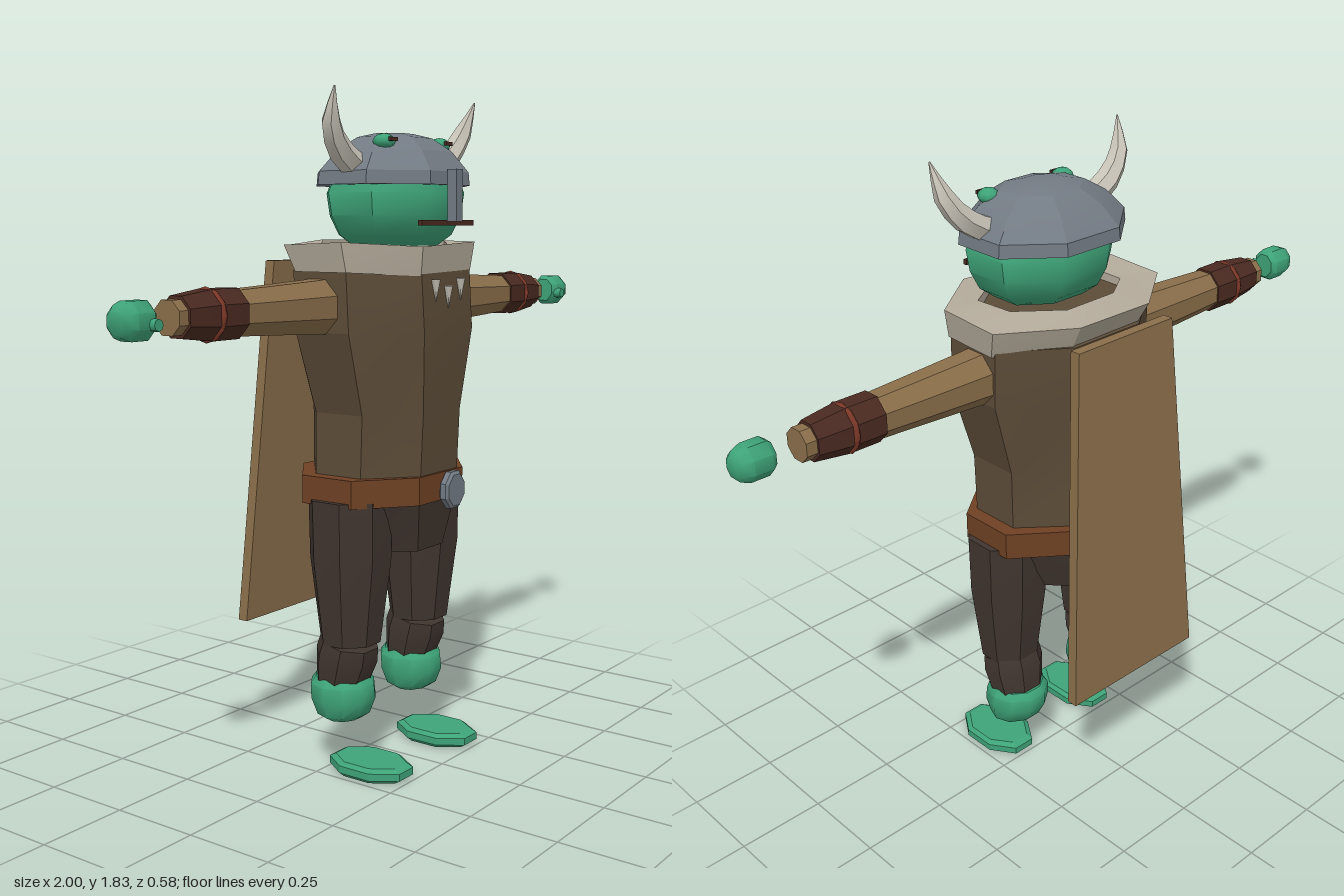
import * as THREE from 'three';
import { toCreasedNormals } from 'three/addons/utils/BufferGeometryUtils.js';

const mat = (name, color) => Object.assign(new THREE.MeshStandardMaterial({ color }), { name });

// Rings [y, rx, rz, cz = 0, cx = 0] joined from bottom to top; rx and rz reach the flat sides.
function loft(rings, { n = 8, caps = true, crease = 0.5, shape = null } = {}) {
  const pos = [], idx = [], k = 1 / Math.cos(Math.PI / n);
  for (const [y, rx, rz, cz = 0, cx = 0] of rings) {
    for (let j = 0; j < n; j++) {
      const a = ((j + 0.5) / n) * Math.PI * 2;
      const p = [cx + rx * k * Math.sin(a), y, cz + rz * k * Math.cos(a)];
      if (shape) p[1] += shape(p[0], p[2]);
      pos.push(...p);
    }
  }
  for (let i = 0; i < rings.length - 1; i++) {
    for (let j = 0; j < n; j++) {
      const a = i * n + j, b = i * n + (j + 1) % n;
      idx.push(a, b, b + n, a, b + n, a + n);
    }
  }
  if (caps) {
    const top = (rings.length - 1) * n;
    for (let j = 1; j < n - 1; j++) idx.push(0, j + 1, j, top, top + j, top + j + 1);
  }
  const g = new THREE.BufferGeometry();
  g.setAttribute('position', new THREE.Float32BufferAttribute(pos, 3));
  g.setIndex(idx);
  return toCreasedNormals(g, crease);
}

// Tapered tube: the radius follows a list spread along the path.
function horn(points, radii) {
  const curve = new THREE.CatmullRomCurve3(points.map(p => new THREE.Vector3(...p)));
  const steps = 6, sides = 6;
  const g = new THREE.TubeGeometry(curve, steps, 1, sides);
  const p = g.attributes.position, v = new THREE.Vector3();
  for (let i = 0; i <= steps; i++) {
    const c = curve.getPointAt(i / steps), t = (i / steps) * (radii.length - 1);
    const f = Math.min(Math.floor(t), radii.length - 2);
    const r = THREE.MathUtils.lerp(radii[f], radii[f + 1], t - f);
    for (let j = 0; j <= sides; j++) {
      const q = i * (sides + 1) + j;
      v.fromBufferAttribute(p, q).sub(c).multiplyScalar(r).add(c);
      p.setXYZ(q, v.x, v.y, v.z);
    }
  }
  return toCreasedNormals(g, 0.5);
}

export function createModel() {
  const model = new THREE.Group();
  const skin = mat('green skin', 0x3ea378);
  const steel = mat('steel', 0x727a83);
  const tunic = mat('brown tunic', 0x5c4c38);
  const hide = mat('tan hide', 0x8a6e4a);
  const leather = mat('belt leather', 0x6e4023);
  const cuffBrown = mat('dark cuff leather', 0x4a2a21);
  const strap = mat('red strap', 0x7d3828);
  const cloth = mat('dark trousers', 0x40352f);
  const fur = mat('pale fur', 0xb3aa9a);
  const bone = mat('bone', 0xc9c4b8);

  const add = (name, geometry, material, x = 0, y = 0, z = 0) => {
    const m = new THREE.Mesh(geometry, material);
    m.name = name;
    m.position.set(x, y, z);
    model.add(m);
    return m;
  };

  // Torso, belt and hips
  add('torso', loft([
    [0.78, 0.215, 0.18, 0.05], [1.0, 0.215, 0.185, 0.055],
    [1.22, 0.28, 0.21, 0.05], [1.38, 0.28, 0.207, 0.043], [1.42, 0.2, 0.16, 0.05],
  ], { crease: 0.25 }), tunic);
  add('belt', loft([[0.757, 0.255, 0.197, 0.043], [0.833, 0.255, 0.197, 0.043]]), leather);
  const buckle = add('buckle', loft([
    [-0.015, 0.038, 0.042], [-0.008, 0.045, 0.05], [0.008, 0.045, 0.05], [0.015, 0.038, 0.042],
  ]), steel, 0, 0.79, 0.275);
  buckle.rotation.x = Math.PI / 2;
  add('hips', loft([[0.62, 0.145, 0.165, 0.04], [0.68, 0.175, 0.175, 0.04], [0.77, 0.22, 0.185, 0.045]]), cloth);

  // Fur collar, a closed ring with an uneven edge
  add('collar', loft([
    [1.37, 0.285, 0.2, 0.05], [1.445, 0.3, 0.225, 0.035], [1.45, 0.2, 0.15, 0.05],
    [1.38, 0.2, 0.15, 0.05], [1.37, 0.285, 0.2, 0.05],
  ], { caps: false, shape: (x, z) => 0.008 * Math.sin(x * 40 + z * 9) }), fur);
  [-0.06, 0, 0.06].forEach((x, i) => {
    const tooth = add('toothPendant', new THREE.ConeGeometry(0.014, 0.06, 6), bone, x, i === 1 ? 1.307 : 1.325, 0.258);
    tooth.rotation.x = Math.PI;
  });

  // Head, mouth and helmet
  add('head', loft([
    [1.44, 0.13, 0.1, 0.083], [1.47, 0.17, 0.137, 0.083], [1.52, 0.193, 0.16, 0.083],
    [1.58, 0.202, 0.168, 0.083], [1.66, 0.17, 0.14, 0.083],
  ], { crease: 0.85 }), skin);
  add('mouth', new THREE.BoxGeometry(0.25, 0.014, 0.012), cuffBrown, 0, 1.502, 0.25);
  add('helmet', loft([
    [1.6, 0.226, 0.187, 0.075], [1.635, 0.222, 0.184, 0.075], [1.69, 0.172, 0.14, 0.078],
    [1.725, 0.115, 0.09, 0.08], [1.737, 0.06, 0.045, 0.08],
  ], { crease: 0.3 }), steel);
  add('noseGuard', new THREE.BoxGeometry(0.03, 0.135, 0.028), steel, 0, 1.573, 0.276);

  for (const s of [1, -1]) {
    // Horn and eye knob
    add('horn', horn(
      [[s * 0.17, 1.642, 0.09], [s * 0.24, 1.675, 0.09], [s * 0.3, 1.74, 0.1], [s * 0.325, 1.838, 0.13]],
      [0.036, 0.034, 0.026, 0.002]), bone);
    const eye = add('eyeKnob', new THREE.SphereGeometry(0.03, 8, 6), skin, s * 0.13, 1.71, 0.14);
    eye.scale.y = 0.7;
    add('pupil', new THREE.BoxGeometry(0.03, 0.01, 0.008), cuffBrown, s * 0.13, 1.715, 0.169);

    // Arm parts are lofted along y, then laid sideways
    const armPart = (name, rings, material, options) => {
      const m = add(name, loft(rings, options), material, 0, 1.287, 0.035);
      m.rotation.z = -s * Math.PI / 2;
    };
    armPart('sleeve', [[0.2, 0.078, 0.068], [0.3, 0.069, 0.066], [0.5, 0.06, 0.058], [0.62, 0.055, 0.052]], hide);
    armPart('cuff', [[0.61, 0.061, 0.057], [0.7, 0.061, 0.057], [0.8, 0.049, 0.046]], cuffBrown);
    armPart('wrist', [[0.78, 0.041, 0.04], [0.83, 0.041, 0.04]], hide);
    const band = add('cuffStrap', new THREE.TorusGeometry(0.059, 0.008, 6, 12), strap, s * 0.7, 1.287, 0.035);
    band.rotation.y = Math.PI / 2;
    armPart('hand', [
      [0.9, 0.034, 0.03, 0.008], [0.915, 0.045, 0.042, 0.008], [0.965, 0.045, 0.042, 0.008],
      [0.99, 0.036, 0.033, 0.008], [1.0, 0.026, 0.023, 0.008],
    ], skin, { crease: 0.8 });
    const thumb = add('thumb', new THREE.CylinderGeometry(0.014, 0.018, 0.05, 8), skin, s * 0.92, 1.278, 0.075);
    thumb.rotation.x = Math.PI / 2;

    // Leg, bare foot and separate sole
    const x = s * 0.165;
    add('thigh', loft([
      [0.37, 0.08, 0.077, 0.055], [0.6, 0.105, 0.105, 0.055], [0.77, 0.108, 0.108, 0.054],
    ]), cloth, x);
    const shin = add('shin', loft([[-0.06, 0.073, 0.065], [0.02, 0.084, 0.08], [0.06, 0.079, 0.075]]), cloth, x, 0.31, 0.038);
    shin.rotation.x = 0.22;
    add('foot', loft([
      [0.15, 0.055, 0.045, 0.035], [0.165, 0.078, 0.068, 0.033], [0.21, 0.088, 0.088, 0.03],
      [0.25, 0.087, 0.086, 0.027], [0.27, 0.073, 0.07, 0.025],
    ], { n: 10, crease: 0.8 }), skin, x);
    add('sole', loft([
      [0.006, 0.068, 0.1], [0.017, 0.079, 0.118], [0.037, 0.079, 0.118], [0.047, 0.068, 0.1],
    ]), skin, s * 0.163, 0, 0.123);
  }

  // Cape: a slab that widens and leans back toward the hem
  const cape = new THREE.BoxGeometry(2, 1, 0.03, 1, 2, 1);
  const p = cape.attributes.position;
  for (let i = 0; i < p.count; i++) {
    const t = 0.5 - p.getY(i);
    p.setXYZ(i, p.getX(i) * (0.17 + 0.065 * t), 1.4 - 1.015 * t, p.getZ(i) - 0.216 - 0.06 * t);
  }
  cape.computeVertexNormals();
  add('cape', toCreasedNormals(cape, 0.5), hide);

  return model;
}
